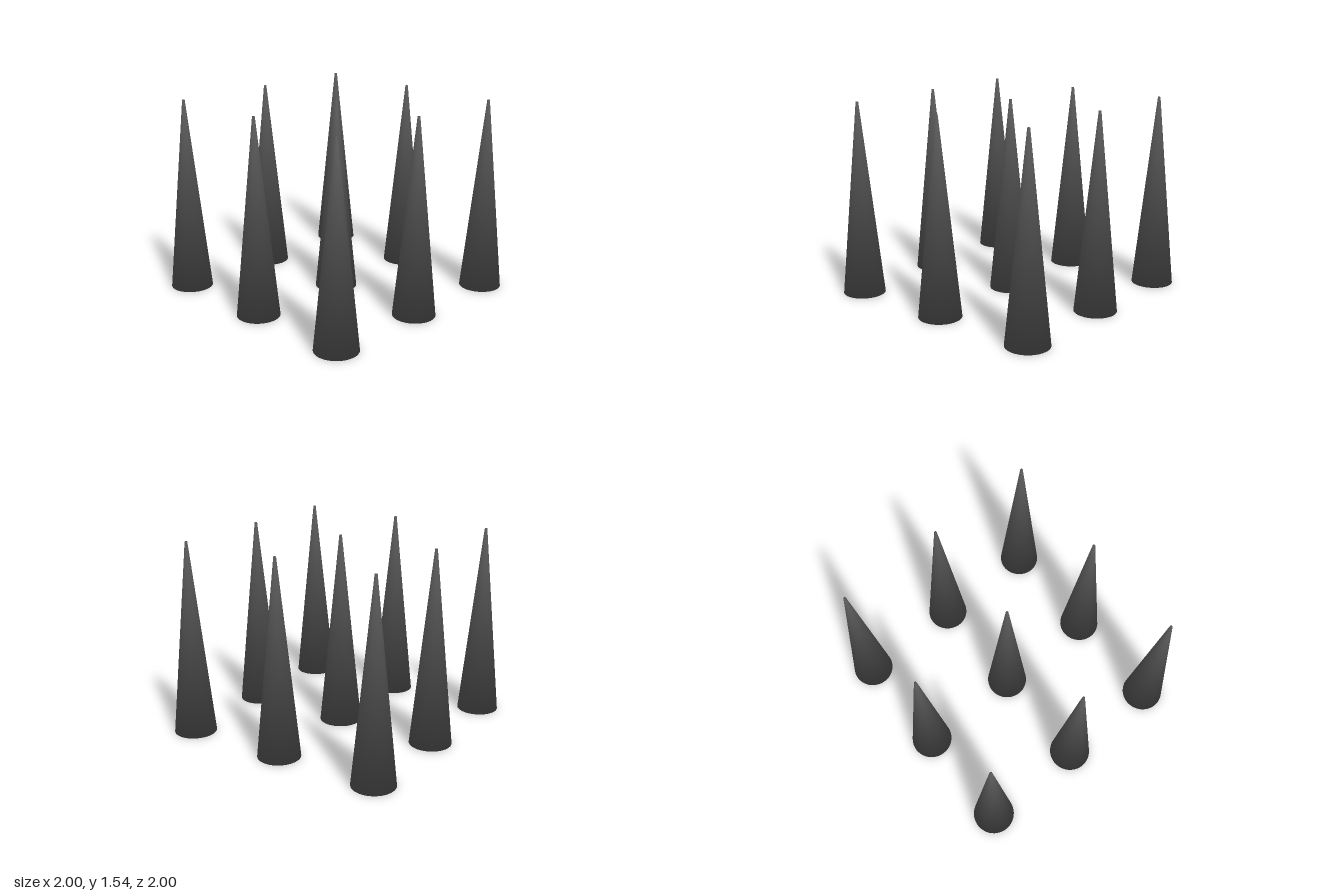
import * as THREE from 'three';

const BASE_R = 0.166, TIP_R = 0.01, HEIGHT = 1.54, SPACING = 0.834;

// Tapered spike with a tiny flat tip; rim normals blend wall and cap for soft shading
function spikeGeometry() {
  const geo = new THREE.CylinderGeometry(TIP_R, BASE_R, HEIGHT, 48);
  const pos = geo.attributes.position;
  const n = new THREE.Vector3();
  for (let i = 0; i < pos.count; i++) {
    n.set(pos.getX(i), 0, pos.getZ(i));
    if (n.length() > 1e-4) n.normalize();
    n.y = Math.sign(pos.getY(i));
    n.normalize();
    geo.attributes.normal.setXYZ(i, n.x, n.y, n.z);
  }
  return geo.translate(0, HEIGHT / 2, 0);
}

export function createModel() {
  const group = new THREE.Group();
  group.name = 'spikes';
  const geo = spikeGeometry();
  const material = new THREE.MeshStandardMaterial({ color: 0x555555 });

  // Three by three grid of spikes
  for (let row = -1; row <= 1; row++) {
    for (let col = -1; col <= 1; col++) {
      const spike = new THREE.Mesh(geo, material);
      spike.name = `spikeRow${row + 2}Column${col + 2}`;
      spike.position.set(col * SPACING, 0, row * SPACING);
      group.add(spike);
    }
  }
  return group;
}
